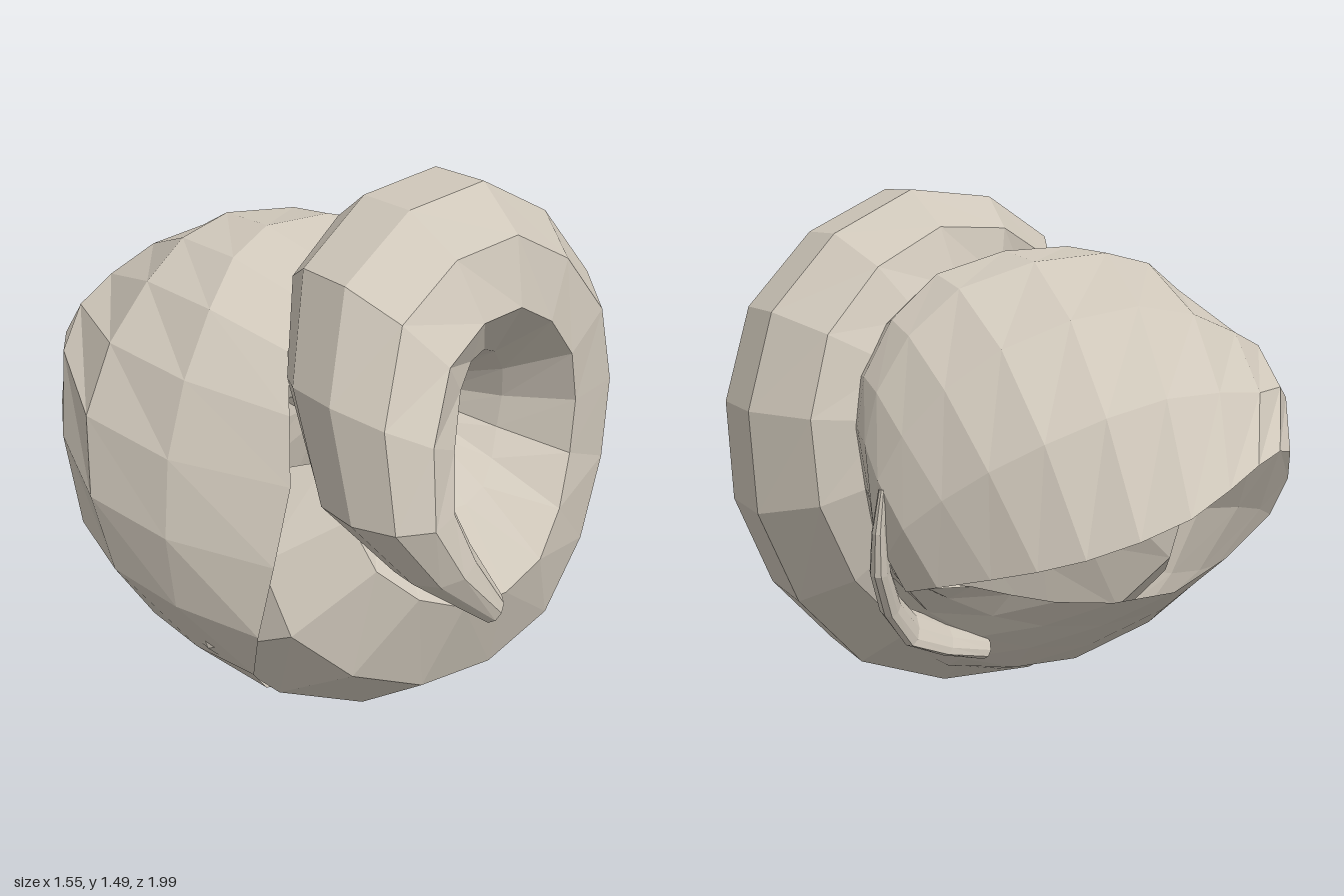
import * as THREE from 'three';

const SIDES = 10;
const AXIS = new THREE.Vector3(0.1, 0.87, 0);
const vec = (x, y, z) => new THREE.Vector3(x, y, z);

function buildGeometry(positions, index) {
  const geo = new THREE.BufferGeometry();
  geo.setAttribute('position', new THREE.Float32BufferAttribute(positions, 3));
  geo.setIndex(index);
  geo.computeVertexNormals();
  return geo;
}

// Two triangles between row i and i + 1, closed around the row
function quad(index, i, j, count) {
  const k = i * count, n = (j + 1) % count;
  index.push(k + j, k + n, k + count + n, k + j, k + count + n, k + count + j);
}

// Skin a run of elliptical sections, each with a centre c and half axes u and v.
// hollow(t) flattens the quarter of the section that faces the coil's centre.
function loft(keys, hollow, capEnd) {
  const curve = (k) => new THREE.CatmullRomCurve3(keys.map((s) => s[k]), false, 'catmullrom', 0.5);
  const [c, u, v] = ['c', 'u', 'v'].map(curve);
  const steps = (keys.length - 1) * 2;
  const positions = [], index = [];
  for (let i = 0; i <= steps; i++) {
    const t = i / steps;
    const C = c.getPoint(t), U = u.getPoint(t), V = v.getPoint(t);
    for (let j = 0; j < SIDES; j++) {
      const a = ((j + 0.5) / SIDES) * Math.PI * 2;
      const inner = Math.cos(a) < -0.1 && Math.sin(a) > 0.1;
      const r = inner ? 1 - hollow(t) : 1;
      const p = C.clone().addScaledVector(U, Math.cos(a) * r).addScaledVector(V, Math.sin(a) * r);
      positions.push(p.x, p.y, p.z);
      if (i < steps) quad(index, i, j, SIDES);
    }
  }
  // end caps
  for (let j = 1; j < SIDES - 1; j++) {
    index.push(0, j + 1, j);
    const e = steps * SIDES;
    if (capEnd) index.push(e, e + j, e + j + 1);
  }
  return buildGeometry(positions, index);
}

// Skin closed loops, from the first to the last, along smooth ribs
function skinLoops(loops, around, along) {
  const curves = loops.map((pts) => new THREE.CatmullRomCurve3(pts.map((p) => vec(...p)), true, 'catmullrom', 0.5));
  const positions = [], index = [];
  const ribs = Array.from({ length: around }, (_, j) =>
    new THREE.CatmullRomCurve3(curves.map((c) => c.getPoint(j / around)), false, 'catmullrom', 0.5));
  for (let i = 0; i <= along; i++) {
    ribs.forEach((rib, j) => {
      positions.push(...rib.getPoint(i / along).toArray());
      if (i < along) quad(index, i, j, around);
    });
  }
  return buildGeometry(positions, index);
}

// A section standing in the plane of the coil axis at the given angle
function coilSection([degrees, radius, z, a, b]) {
  const phi = THREE.MathUtils.degToRad(degrees);
  const out = vec(Math.cos(phi), Math.sin(phi), 0);
  return {
    c: AXIS.clone().addScaledVector(out, radius).setZ(z),
    u: out.clone().multiplyScalar(a * 1.04),
    v: vec(0, 0, b),
  };
}

export function createModel() {
  const group = new THREE.Group();
  group.name = 'spiralShell';
  const shell = new THREE.MeshStandardMaterial({ color: 0xcfc7ba });
  shell.name = 'shell beige';
  shell.flatShading = true;
  shell.side = THREE.DoubleSide;

  const add = (name, geometry) => {
    const mesh = new THREE.Mesh(geometry, shell);
    mesh.name = name;
    group.add(mesh);
  };

  // Coil from the free tip, clockwise around the axis: angle, radius, z, half sizes
  const coilHollow = (t) => 0.24 * THREE.MathUtils.clamp((t - 0.15) * 4, 0, 1);
  add('frontCoil', loft([
    [240, 0.37, 0.93, 0.04, 0.04],
    [185, 0.41, 0.77, 0.14, 0.22],
    [133, 0.43, 0.56, 0.235, 0.31],
    [80, 0.365, 0.34, 0.285, 0.35],
    [27, 0.36, 0.23, 0.3, 0.37],
    [-22, 0.375, 0.19, 0.335, 0.395],
    [-66, 0.42, 0.25, 0.41, 0.44],
    [-105, 0.45, 0.27, 0.44, 0.46],
    [-140, 0.46, 0.2, 0.44, 0.46],
    [-175, 0.4, 0.1, 0.35, 0.39],
  ].map(coilSection), coilHollow, false));

  // Last whorl: from the seam behind the coil, over the shoulder and belly, to the mouth rim
  const seam = [
    [0, 0.03, 0.22], [-0.41, 0.12, 0.35], [-0.55, 0.42, 0.56], [-0.45, 0.82, 0.56], [-0.36, 1.12, 0.4],
    [-0.12, 1.28, 0.15], [0.28, 1.24, -0.03], [0.5, 1.0, -0.08], [0.5, 0.7, -0.08], [0.36, 0.2, 0],
  ];
  const shoulder = [
    [0, 0.06, 0], [-0.43, 0.12, 0.05], [-0.73, 0.46, 0.18], [-0.75, 0.87, 0.1], [-0.52, 1.22, 0.02],
    [-0.2, 1.35, -0.15], [0.28, 1.27, -0.2], [0.53, 1.0, -0.25], [0.54, 0.7, -0.25], [0.36, 0.25, -0.1],
  ];
  const belly = [
    [0, 0.2, -0.17], [-0.4, 0.22, -0.18], [-0.72, 0.54, -0.2], [-0.65, 0.98, -0.42], [-0.41, 1.08, -0.63],
    [-0.06, 1.15, -0.69], [0.3, 1.05, -0.66], [0.52, 0.85, -0.52], [0.57, 0.62, -0.38], [0.33, 0.35, -0.2],
  ];
  const rim = [
    [0, 0.35, -0.3], [-0.32, 0.37, -0.42], [-0.53, 0.61, -0.58], [-0.43, 0.83, -0.8], [-0.24, 0.83, -0.93],
    [0, 0.73, -1], [0.23, 0.63, -0.9], [0.4, 0.56, -0.72], [0.52, 0.48, -0.46], [0.25, 0.42, -0.28],
  ];
  add('lastWhorl', skinLoops([seam, shoulder, belly, rim], 20, 5));

  // Thin folded lip beside the mouth
  add('mouthLip', loft([
    { c: vec(0.57, 0.75, -0.43), u: vec(0.01, 0, 0), v: vec(0, 0, 0.01) },
    { c: vec(0.56, 0.52, -0.38), u: vec(0.03, 0, 0), v: vec(-0.02, 0, 0.06) },
    { c: vec(0.43, 0.32, -0.25), u: vec(0.03, -0.01, 0), v: vec(-0.02, 0.03, 0.08) },
    { c: vec(0.16, 0.2, -0.15), u: vec(0.02, -0.02, 0), v: vec(0, 0.02, 0.04) },
  ], () => 0, true));
  return group;
}
